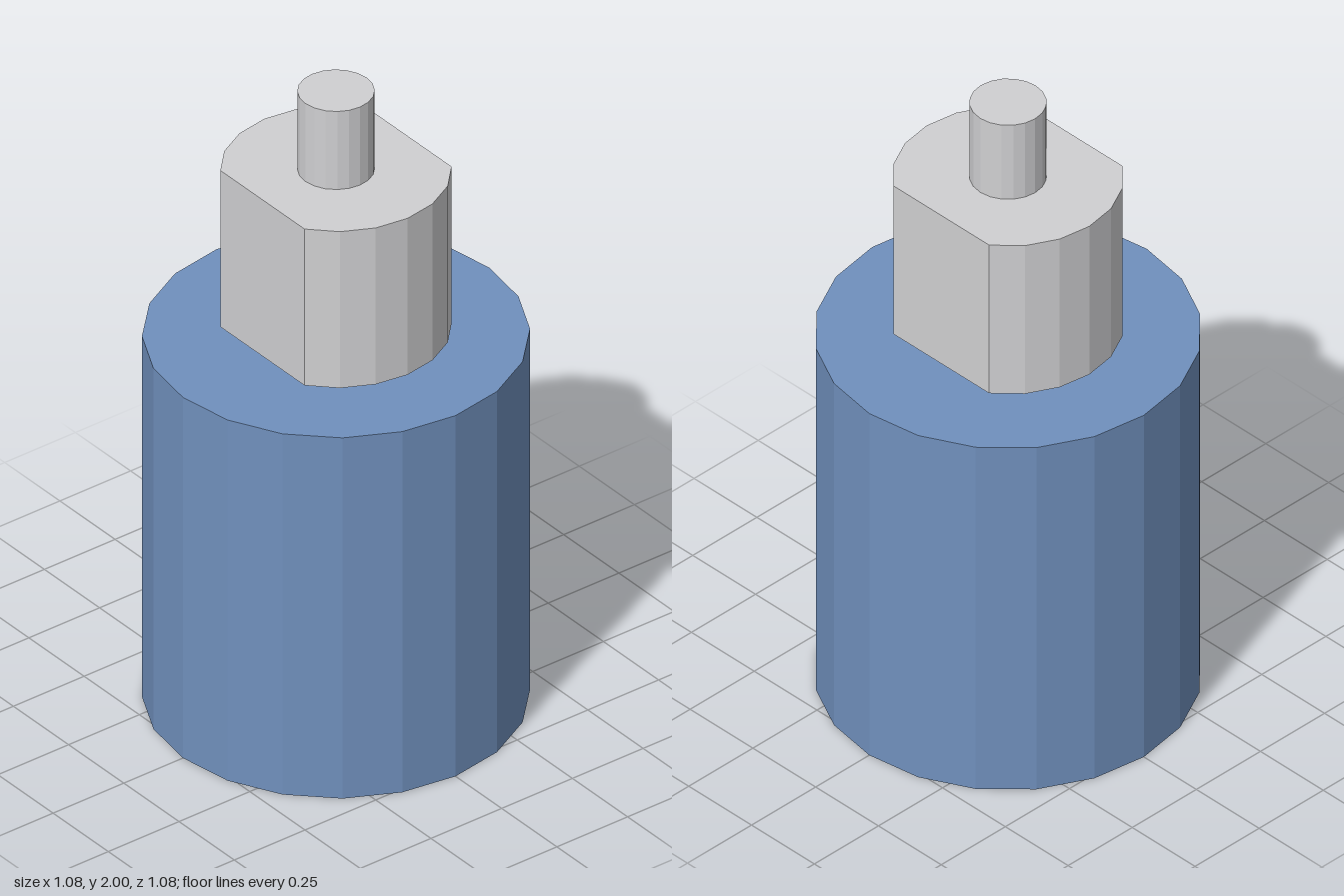
import * as THREE from 'three';

const SIDES = 20;

function material(name, color) {
  const m = new THREE.MeshStandardMaterial({ color, flatShading: true });
  m.name = name;
  return m;
}

// Faceted upright cylinder between two heights, optionally cut flat at z = +-flat
function faceted(name, radius, y0, y1, mat, flat = Infinity) {
  const geo = new THREE.CylinderGeometry(radius, radius, y1 - y0, SIDES).toNonIndexed();
  const pos = geo.attributes.position;
  for (let i = 0; i < pos.count; i++) {
    const z = pos.getZ(i);
    if (Math.abs(z) > flat) {
      // slide the vertex onto the flat, keeping it on the round outline
      const x = pos.getX(i);
      const edge = Math.sqrt(radius * radius - flat * flat);
      pos.setXYZ(i, Math.max(-edge, Math.min(edge, x)), pos.getY(i), Math.sign(z) * flat);
    }
  }
  geo.computeVertexNormals();
  const mesh = new THREE.Mesh(geo, mat);
  mesh.name = name;
  mesh.position.y = (y0 + y1) / 2;
  return mesh;
}

export function createModel() {
  const blue = material('blue', 0x7090bd);
  const grey = material('light grey', 0xd0d0d2);

  const model = new THREE.Group();
  model.name = 'shaftUnit';
  model.add(
    faceted('body', 0.541, 0, 1.197, blue),
    faceted('neck', 0.174, 1.197, 1.222, grey),
    faceted('flattedCollar', 0.324, 1.222, 1.741, grey, 0.26),
    faceted('shaft', 0.108, 1.741, 2, grey)
  );
  return model;
}
